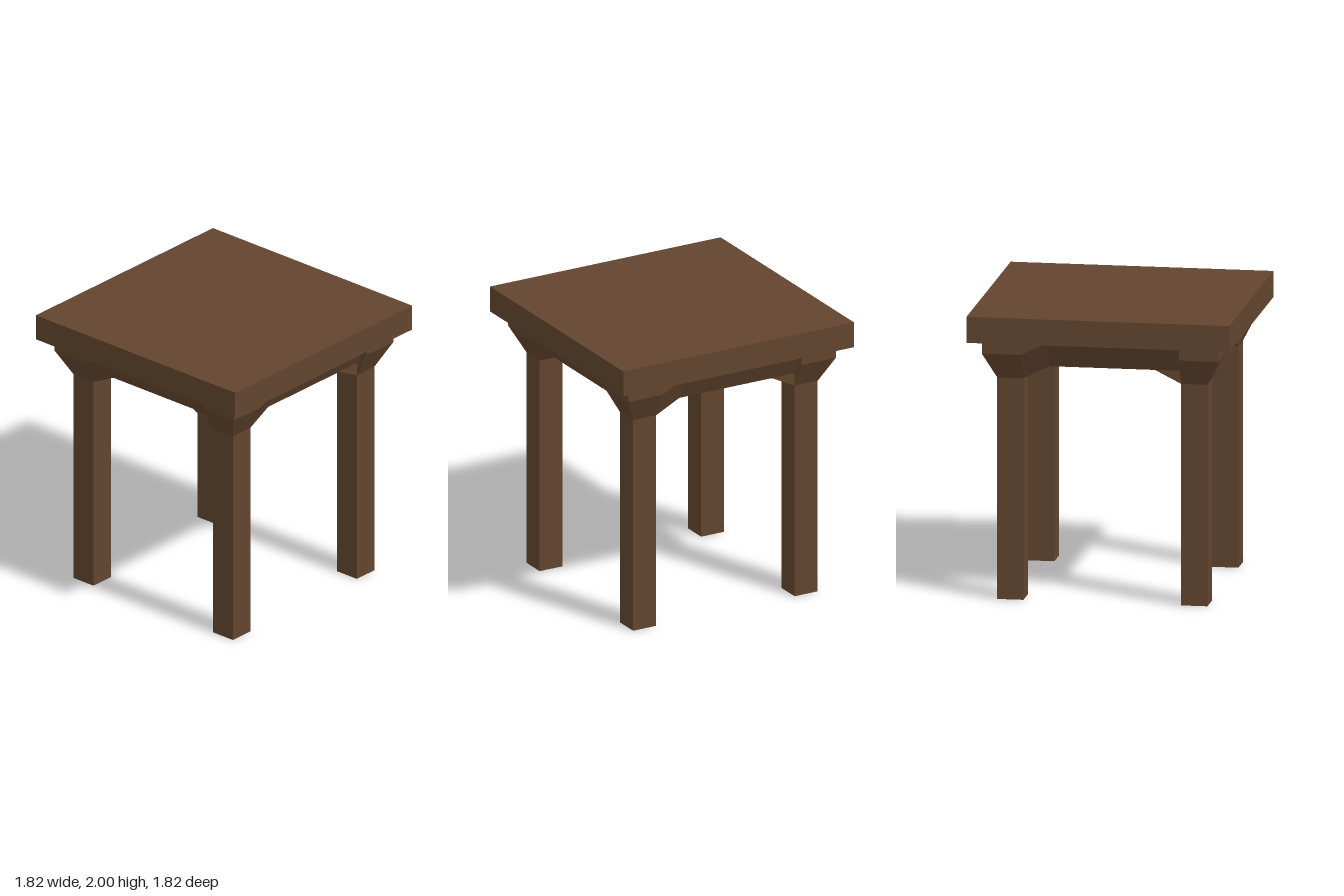
import * as THREE from 'three';
import { ConvexGeometry } from 'three/addons/geometries/ConvexGeometry.js';

const U = 1 / 11; // grid unit of the design: the table is 22 units tall

export function createModel() {
  const table = new THREE.Group();
  table.name = 'table';
  const wood = new THREE.MeshStandardMaterial({ color: 0x62452e, flatShading: true });
  wood.name = 'darkWood';

  const box = (name, parent, x0, x1, y0, y1, z0, z1) => {
    const mesh = new THREE.Mesh(new THREE.BoxGeometry((x1 - x0) * U, (y1 - y0) * U, (z1 - z0) * U), wood);
    mesh.position.set((x0 + x1) / 2 * U, (y0 + y1) / 2 * U, (z0 + z1) / 2 * U);
    mesh.name = name;
    parent.add(mesh);
  };
  // Solid spanned by its corner points
  const solid = (name, parent, points) => {
    const mesh = new THREE.Mesh(new ConvexGeometry(points.map(p => new THREE.Vector3(...p).multiplyScalar(U))), wood);
    mesh.name = name;
    parent.add(mesh);
  };

  box('tableTop', table, -10, 10, 20, 22, -10, 10);

  // One leg, rail and pair of braces, turned around the four sides
  for (let i = 0; i < 4; i++) {
    const side = new THREE.Group();
    side.name = 'side' + (i + 1);
    side.rotation.y = i * Math.PI / 2;
    table.add(side);

    box('leg', side, 6, 8, 0, 17, 6, 8);

    // Leg head flaring outwards under the top
    const head = [];
    for (const [y, o] of [[17, 8], [19, 9], [20, 9]])
      for (const x of [6, o]) for (const z of [6, o]) head.push([x, y, z]);
    solid('legHead', side, head);

    // Rail with an undercut upper edge
    const rail = [];
    for (const x of [-6, 6])
      rail.push([x, 18, 6], [x, 18, 8], [x, 19, 8], [x, 20, 9], [x, 20, 6]);
    solid('rail', side, rail);

    // Sloped braces under both rail ends
    for (const s of [-1, 1]) {
      const brace = [];
      for (const z of [6, 8])
        brace.push([s * 6, 17, z], [s * 6, 18, z], [s * 4, 18, z]);
      solid('brace', side, brace);
    }

    // Wedge easing the flared head into the rail
    solid('headWedge', side, [
      [-6, 17, 8], [-6, 19, 9], [-6, 20, 9], [-6, 20, 8],
      [-4, 18, 8], [-4, 19, 8], [-4, 20, 9], [-4, 20, 8],
    ]);
  }
  return table;
}
